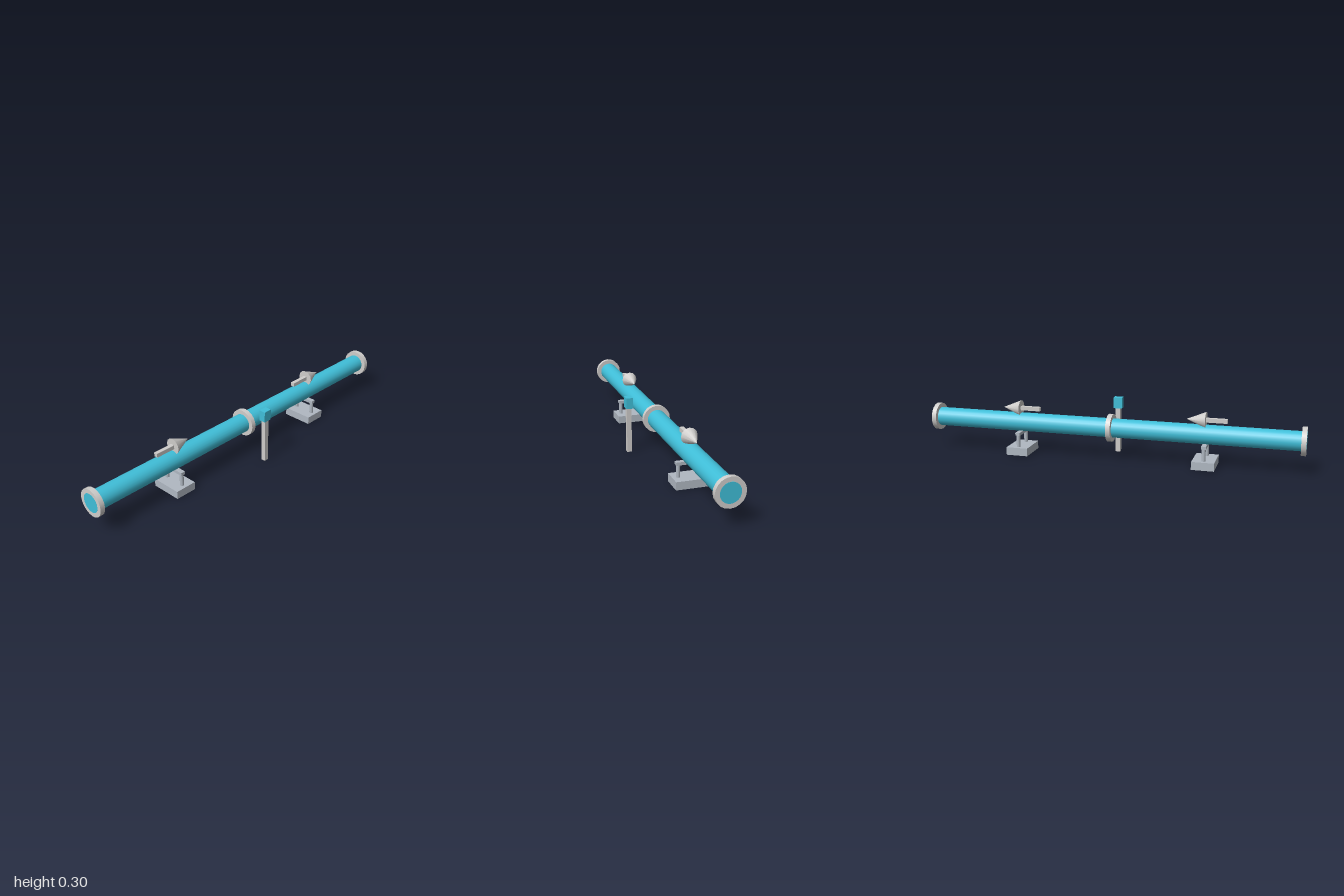
import * as THREE from 'three';

const AXIS_Y = 0.168, AXIS_Z = -0.042;

function material(name, color) {
  const m = new THREE.MeshStandardMaterial({ color });
  m.name = name;
  return m;
}

export function createModel() {
  const model = new THREE.Group();
  model.name = 'pipeline';
  const blue = material('pipe blue', 0x40bfd9);
  const silver = material('silver', 0xcfcdcb);
  const steel = material('steel grey', 0xb0b8c2);

  function add(name, geometry, mat, x, y, z, parent = model) {
    const mesh = new THREE.Mesh(geometry, mat);
    mesh.name = name;
    mesh.position.set(x, y, z);
    parent.add(mesh);
    return mesh;
  }
  const box = (w, h, d) => new THREE.BoxGeometry(w, h, d);
  // Cylinder or cone lying along +x
  const along = (r0, r1, length, sides) =>
    new THREE.CylinderGeometry(r1, r0, length, sides).rotateZ(-Math.PI / 2);

  // Main pipe, its ends showing just proud of the end flanges
  add('pipe', along(0.05, 0.05, 2, 24), blue, 0, AXIS_Y, AXIS_Z);
  for (const x of [-0.987, 0, 0.987]) {
    add('flange', along(0.073, 0.073, 0.025, 20), silver, x, AXIS_Y, AXIS_Z);
  }

  for (const x of [-0.5, 0.5]) {
    // Support: base block, two posts and a saddle bar
    const support = new THREE.Group();
    support.name = 'support';
    support.position.set(x, 0, AXIS_Z);
    model.add(support);
    add('base', box(0.117, 0.042, 0.167), steel, 0, 0.021, 0, support);
    for (const side of [-1, 1]) {
      add('post', new THREE.CylinderGeometry(0.0105, 0.0105, 0.064, 12), steel, 0, 0.074, side * 0.054, support);
    }
    add('saddle', box(0.025, 0.016, 0.134), steel, 0, 0.113, 0, support);

    // Flow arrow above the pipe
    const arrow = new THREE.Group();
    arrow.name = 'flowArrow';
    arrow.position.set(x, 0.243, AXIS_Z);
    model.add(arrow);
    add('arrowShaft', box(0.125, 0.021, 0.021), silver, -0.046, 0, 0, arrow);
    add('arrowHead', new THREE.ConeGeometry(0.0425, 0.1, 12).rotateZ(-Math.PI / 2), silver, 0.05, 0, 0, arrow);
  }

  // Marker post beside the middle flange
  add('markerPost', box(0.025, 0.242, 0.025), silver, 0, 0.121, 0.109);
  add('markerHead', box(0.046, 0.058, 0.037), blue, 0, 0.271, 0.109);

  return model;
}
